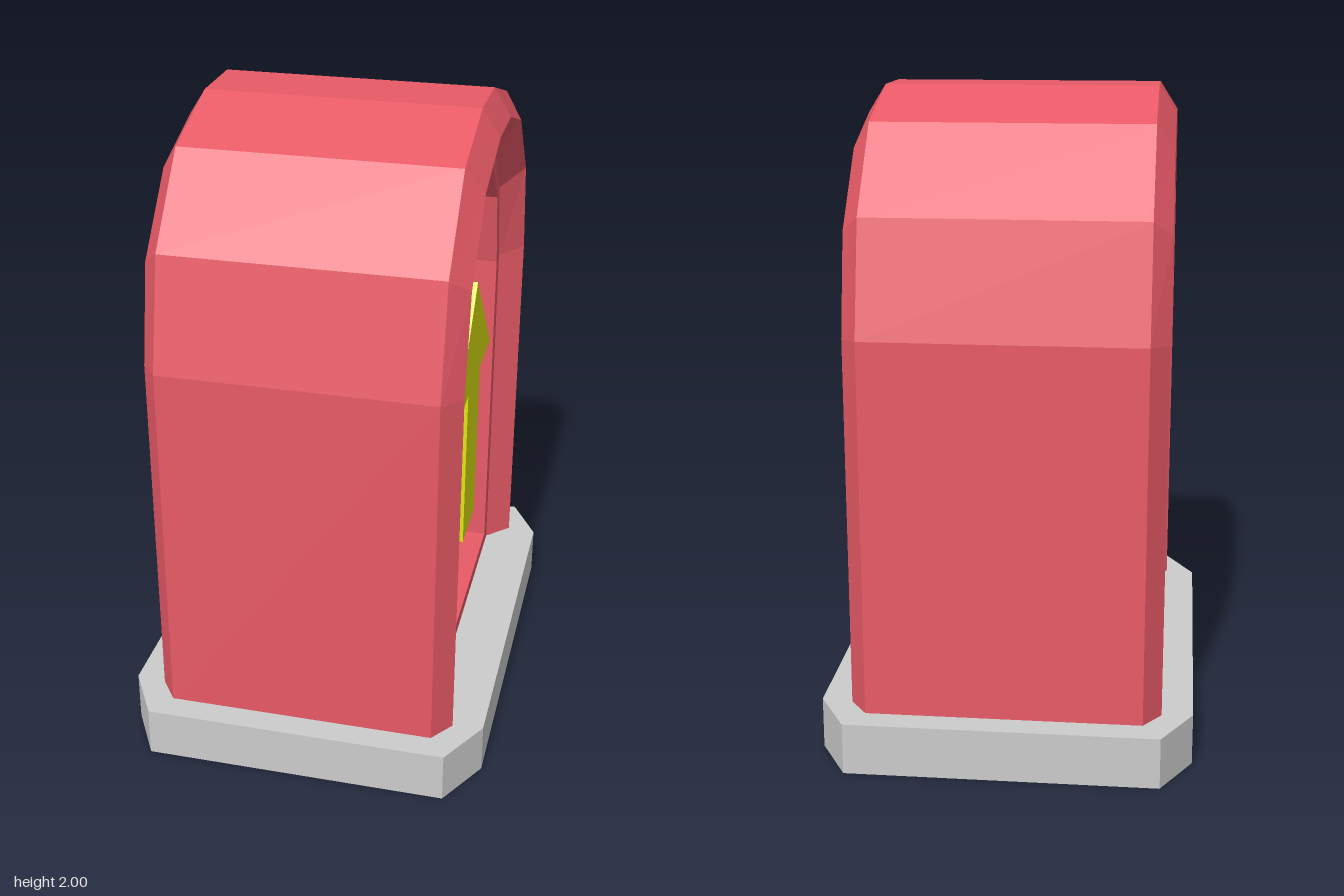
import * as THREE from 'three';

const material = (color) => new THREE.MeshStandardMaterial({ color, flatShading: true });

// Arch outline as [z, y] points: up the +z side, over the top, down the -z side
function arch(half, bottom) {
  const all = [[half[0][0], bottom], ...half];
  return [...all, ...all.slice().reverse().map(([z, y]) => [-z, y])];
}

// Closed loft through arch outlines placed along x
function loft(rings) {
  const pos = [];
  const put = (r, j) => {
    const p = r.points[j % r.points.length];
    pos.push(r.x, p[1], p[0]);
  };
  for (let i = 0; i < rings.length - 1; i++) {
    const a = rings[i], b = rings[i + 1];
    for (let j = 0; j < a.points.length; j++) {
      put(a, j); put(b, j); put(b, j + 1);
      put(a, j); put(b, j + 1); put(a, j + 1);
    }
  }
  const geo = new THREE.BufferGeometry();
  geo.setAttribute('position', new THREE.Float32BufferAttribute(pos, 3));
  geo.computeVertexNormals();
  return geo;
}

const shapeOf = (pts) => new THREE.Shape(pts.map(([x, y]) => new THREE.Vector2(x, y)));

export function createModel() {
  const group = new THREE.Group();
  const add = (name, geo, mat, parent = group) => {
    const mesh = new THREE.Mesh(geo, mat);
    mesh.name = name;
    parent.add(mesh);
    return mesh;
  };

  const red = material(0xe85a66);
  const purple = material(0xb781e8);
  const yellow = material(0xe0e512);
  const grey = material(0xcccccc);

  // Base slab with clipped corners
  const base = shapeOf([
    [0.475, -0.757], [0.57, -0.59], [0.57, 0.59], [0.475, 0.757],
    [-0.475, 0.757], [-0.57, 0.59], [-0.57, -0.59], [-0.475, -0.757],
  ]);
  const baseGeo = new THREE.ExtrudeGeometry(base, { depth: 0.16, bevelEnabled: false });
  baseGeo.rotateX(-Math.PI / 2);
  add('base', baseGeo, grey);

  // Arched body: outer shell, chamfer, sloped rim, frame face and recess on both sides
  const outer = arch([[0.675, 1.315], [0.6, 1.66], [0.39, 1.91], [0.11, 2]], 0.15);
  const chamfer = arch([[0.6, 1.305], [0.54, 1.61], [0.35, 1.83], [0.1, 1.915]], 0.15);
  const rim = arch([[0.525, 1.295], [0.46, 1.56], [0.31, 1.745], [0.09, 1.82]], 0.15);
  const opening = arch([[0.473, 1.29], [0.42, 1.54], [0.285, 1.7], [0.085, 1.77]], 0.2);
  const half = [
    { x: 0.42, points: outer },
    { x: 0.475, points: chamfer },
    { x: 0.4, points: rim },
    { x: 0.4, points: opening },
    { x: 0.31, points: opening },
  ];
  const mirrored = half.map(({ x, points }) => ({ x: -x, points })).reverse();
  add('archedBody', loft([...mirrored, ...half]), red);

  // Recessed panel and raised arrow, repeated on the two open sides
  const panelShape = shapeOf(opening);
  const arrowShape = shapeOf([
    [0.11, 0.525], [0.11, 1.065], [0.32, 1.065], [0, 1.41],
    [-0.32, 1.065], [-0.11, 1.065], [-0.11, 0.525],
  ]);
  for (const side of [1, -1]) {
    const face = new THREE.Group();
    face.name = side > 0 ? 'leftFace' : 'rightFace';
    face.rotation.y = side * Math.PI / 2;
    add('panel', new THREE.ShapeGeometry(panelShape), purple, face).position.z = 0.31;
    const arrowGeo = new THREE.ExtrudeGeometry(arrowShape, { depth: 0.1, bevelEnabled: false });
    add('arrow', arrowGeo, yellow, face).position.z = 0.31;
    group.add(face);
  }

  return group;
}
